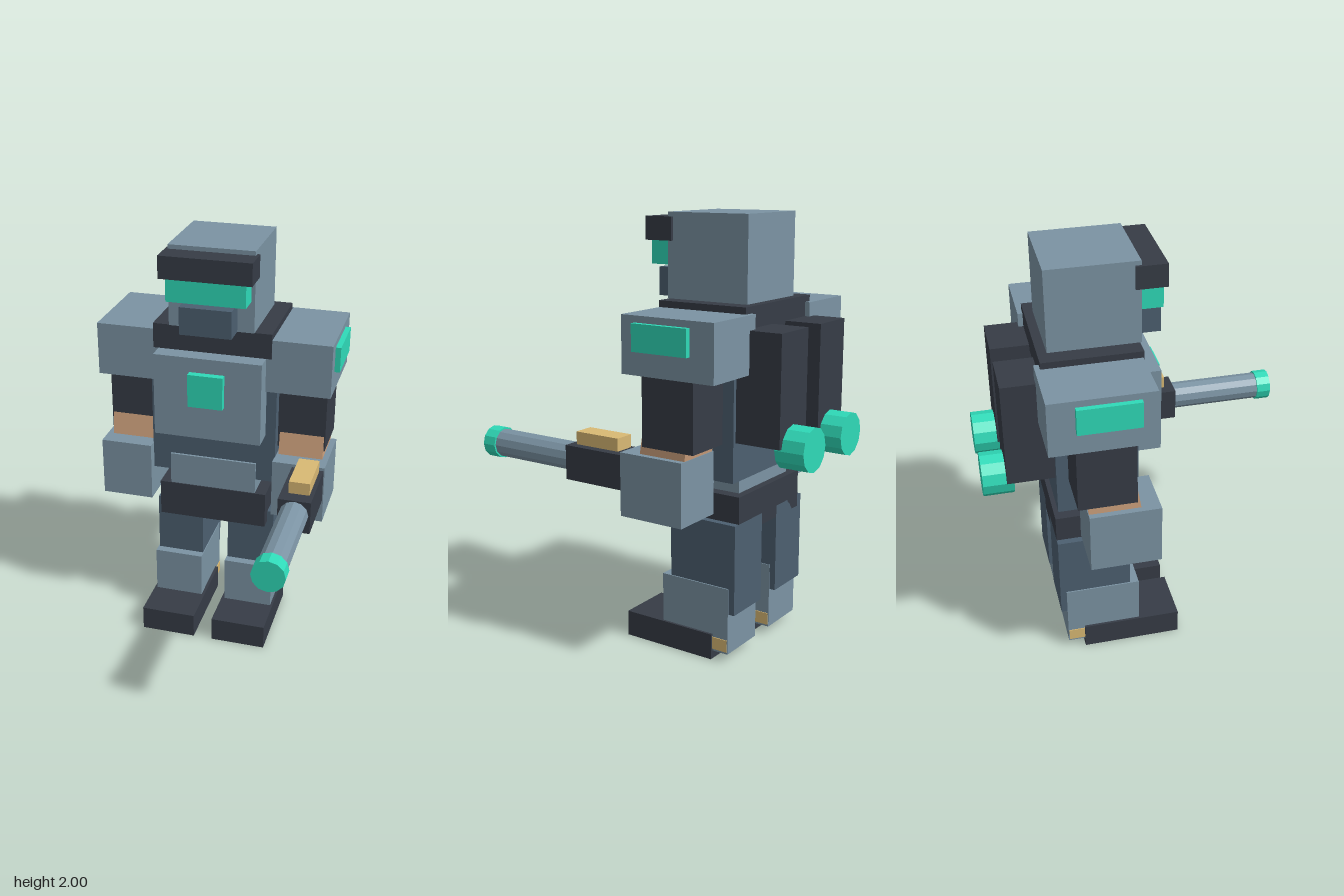
import * as THREE from 'three';

const mat = (color) => new THREE.MeshStandardMaterial({ color, flatShading: true });

export function createModel() {
  const model = new THREE.Group();
  model.name = 'robot';
  const steel = mat(0x7b93a3), dark = mat(0x363c46), blue = mat(0x4c5f70);
  const teal = mat(0x2fdab8), tan = mat(0xcfa27e), brass = mat(0xd9b974);

  // Box from its extents [min, max] on each axis
  function box(parent, name, material, [x0, x1], [y0, y1], [z0, z1]) {
    const mesh = new THREE.Mesh(new THREE.BoxGeometry(x1 - x0, y1 - y0, z1 - z0), material);
    mesh.position.set((x0 + x1) / 2, (y0 + y1) / 2, (z0 + z1) / 2);
    mesh.name = name;
    parent.add(mesh);
    return mesh;
  }

  // Twelve-sided cylinder lying along z
  function tube(parent, name, material, radius, x, y, [z0, z1]) {
    const geometry = new THREE.CylinderGeometry(radius, radius, z1 - z0, 12).rotateX(Math.PI / 2);
    const mesh = new THREE.Mesh(geometry, material);
    mesh.position.set(x, y, (z0 + z1) / 2);
    mesh.name = name;
    parent.add(mesh);
  }

  function group(name) {
    const g = new THREE.Group();
    g.name = name;
    model.add(g);
    return g;
  }

  // Head
  const head = group('head');
  box(head, 'skull', steel, [-0.205, 0.2], [1.62, 2], [-0.463, -0.05]);
  box(head, 'brow', dark, [-0.217, 0.213], [1.875, 1.98], [-0.077, 0.063]);
  box(head, 'visor', teal, [-0.187, 0.183], [1.768, 1.89], [-0.07, 0.05]);
  box(head, 'jaw', blue, [-0.124, 0.12], [1.62, 1.75], [-0.07, 0.055]);

  // Torso
  const torso = group('torso');
  box(torso, 'collar', dark, [-0.285, 0.281], [1.5, 1.62], [-0.505, -0.057]);
  box(torso, 'trunk', blue, [-0.308, 0.304], [0.85, 1.505], [-0.465, -0.09]);
  box(torso, 'chestPlate', steel, [-0.26, 0.255], [1.096, 1.5], [-0.12, 0.025]);
  box(torso, 'chestLight', teal, [-0.086, 0.081], [1.27, 1.43], [0, 0.06]);
  box(torso, 'abdomen', steel, [-0.216, 0.212], [0.7, 0.94], [-0.44, -0.078]);
  box(torso, 'belt', dark, [-0.27, 0.266], [0.6, 0.78], [-0.475, -0.073]);

  // Parts that repeat on the left (+x) and right (-x)
  for (const side of [1, -1]) {
    const label = side > 0 ? 'left' : 'right';
    const span = (a, b) => [a, b].map((v) => v * side - 0.002).sort((p, q) => p - q);

    const arm = group(label + 'Arm');
    box(arm, 'shoulder', steel, span(0.24, 0.562), [1.335, 1.59], [-0.528, -0.062]);
    box(arm, 'shoulderLight', teal, span(0.5, 0.587), [1.44, 1.56], [-0.41, -0.132]);
    box(arm, 'upperArm', dark, span(0.304, 0.535), [1.02, 1.4], [-0.41, -0.147]);
    const forearm = box(arm, 'forearm', tan, span(0.315, 0.529), [0.86, 1.14], [-0.363, -0.133]);
    forearm.rotation.x = -0.16;
    box(arm, 'hand', steel, span(0.304, 0.557), [0.695, 0.985], [-0.365, -0.042]);

    const leg = group(label + 'Leg');
    box(leg, 'thigh', blue, span(0.066, 0.3), [0.233, 0.655], [-0.475, -0.132]);
    box(leg, 'shin', steel, span(0.062, 0.306), [0.04, 0.355], [-0.446, -0.09]);
    box(leg, 'anklePin', brass, span(0.058, 0.31), [0.05, 0.108], [-0.442, -0.34]);
    box(leg, 'foot', dark, span(0.047, 0.318), [0, 0.122], [-0.365, 0.108]);

    const pack = group(label + 'Thruster');
    box(pack, 'tank', dark, span(0.057, 0.287), [1.03, 1.525], [-0.682, -0.44]);
    tube(pack, 'nozzle', teal, 0.1, 0.173 * side - 0.002, 1.022, [-0.788, -0.648]);
  }

  // Blaster held in the left hand
  const blaster = group('blaster');
  box(blaster, 'blasterBody', dark, [0.398, 0.55], [0.81, 0.97], [-0.06, 0.272]);
  tube(blaster, 'barrel', steel, 0.067, 0.474, 0.9, [0.25, 0.73]);
  tube(blaster, 'muzzle', teal, 0.075, 0.474, 0.9, [0.72, 0.79]);
  box(blaster, 'sight', brass, [0.436, 0.533], [0.978, 1.037], [-0.013, 0.22]);

  return model;
}
